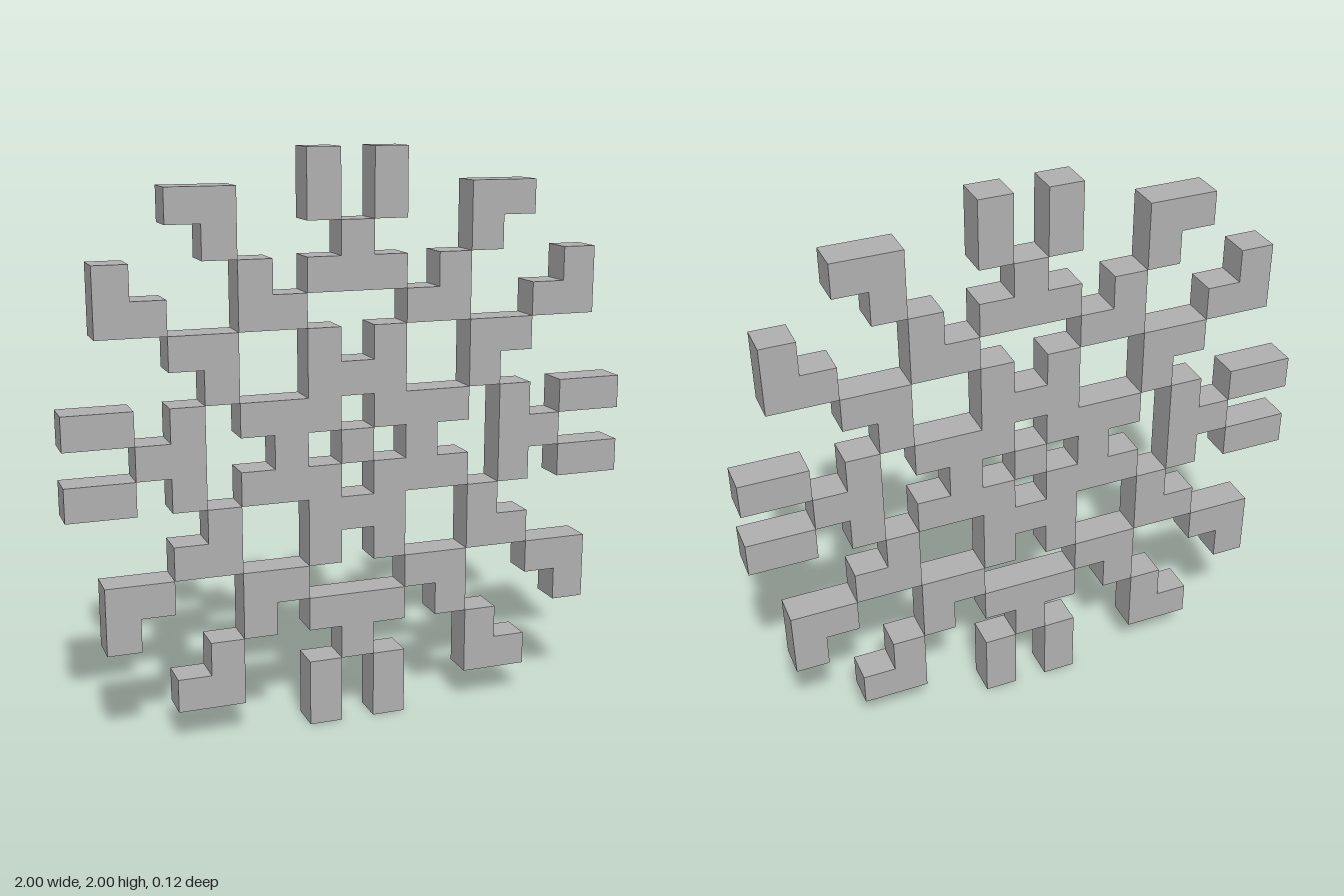
import * as THREE from 'three';

const CELL = 2 / 17; // the snowflake is laid out on a 17 x 17 grid

const grey = new THREE.MeshStandardMaterial({ color: 0xb0b0b0 });
grey.name = 'plain grey';

const toVectors = (pts) => pts.map(([x, y]) => new THREE.Vector2(x * CELL, y * CELL));

// Repeat a quarter outline four times around the centre
function fourfold(quarter) {
  const out = [];
  let pts = quarter;
  for (let i = 0; i < 4; i++) {
    out.push(...pts);
    pts = pts.map(([x, y]) => [-y, x]);
  }
  return out;
}

// One-cell-thick slab from an outline in grid units, centred on z = 0
function slab(name, outline, hole) {
  const shape = new THREE.Shape(toVectors(outline));
  if (hole) shape.holes.push(new THREE.Path(toVectors(hole)));
  const geo = new THREE.ExtrudeGeometry(shape, { depth: CELL, bevelEnabled: false });
  geo.translate(0, 0, -CELL / 2);
  const mesh = new THREE.Mesh(geo, grey);
  mesh.name = name;
  return mesh;
}

export function createModel() {
  const model = new THREE.Group();
  model.name = 'snowflake';

  const flake = new THREE.Group();
  flake.name = 'flake';
  flake.position.y = 1;
  model.add(flake);

  // Central star with a plus-shaped opening, and the cube inside it
  flake.add(slab('core',
    fourfold([[2.5, 0.5], [3.5, 0.5], [3.5, 1.5], [1.5, 1.5], [1.5, 3.5], [0.5, 3.5], [0.5, 2.5]]),
    fourfold([[1.5, 0.5], [0.5, 0.5], [0.5, 1.5]])));
  const cube = new THREE.Mesh(new THREE.BoxGeometry(CELL, CELL, CELL), grey);
  cube.name = 'centreCube';
  flake.add(cube);

  // Pieces on one side of an arm, mirrored to the other side
  const sidePieces = {
    tipBar: [[0.5, 6.5], [1.5, 6.5], [1.5, 8.5], [0.5, 8.5]],
    outerHook: [[3.5, 5.5], [4.5, 5.5], [4.5, 6.5], [5.5, 6.5], [5.5, 7.5], [3.5, 7.5]],
    innerHook: [[1.5, 3.5], [3.5, 3.5], [3.5, 5.5], [2.5, 5.5], [2.5, 4.5], [1.5, 4.5]],
  };
  const tee = [[-1.5, 4.5], [1.5, 4.5], [1.5, 5.5], [0.5, 5.5], [0.5, 6.5], [-0.5, 6.5], [-0.5, 5.5], [-1.5, 5.5]];

  // Four arms
  for (let i = 0; i < 4; i++) {
    const arm = new THREE.Group();
    arm.name = 'arm';
    arm.rotation.z = i * Math.PI / 2;
    arm.add(slab('tee', tee));
    for (const [name, pts] of Object.entries(sidePieces)) {
      for (const s of [1, -1]) arm.add(slab(name, pts.map(([x, y]) => [s * x, y])));
    }
    flake.add(arm);
  }
  return model;
}
